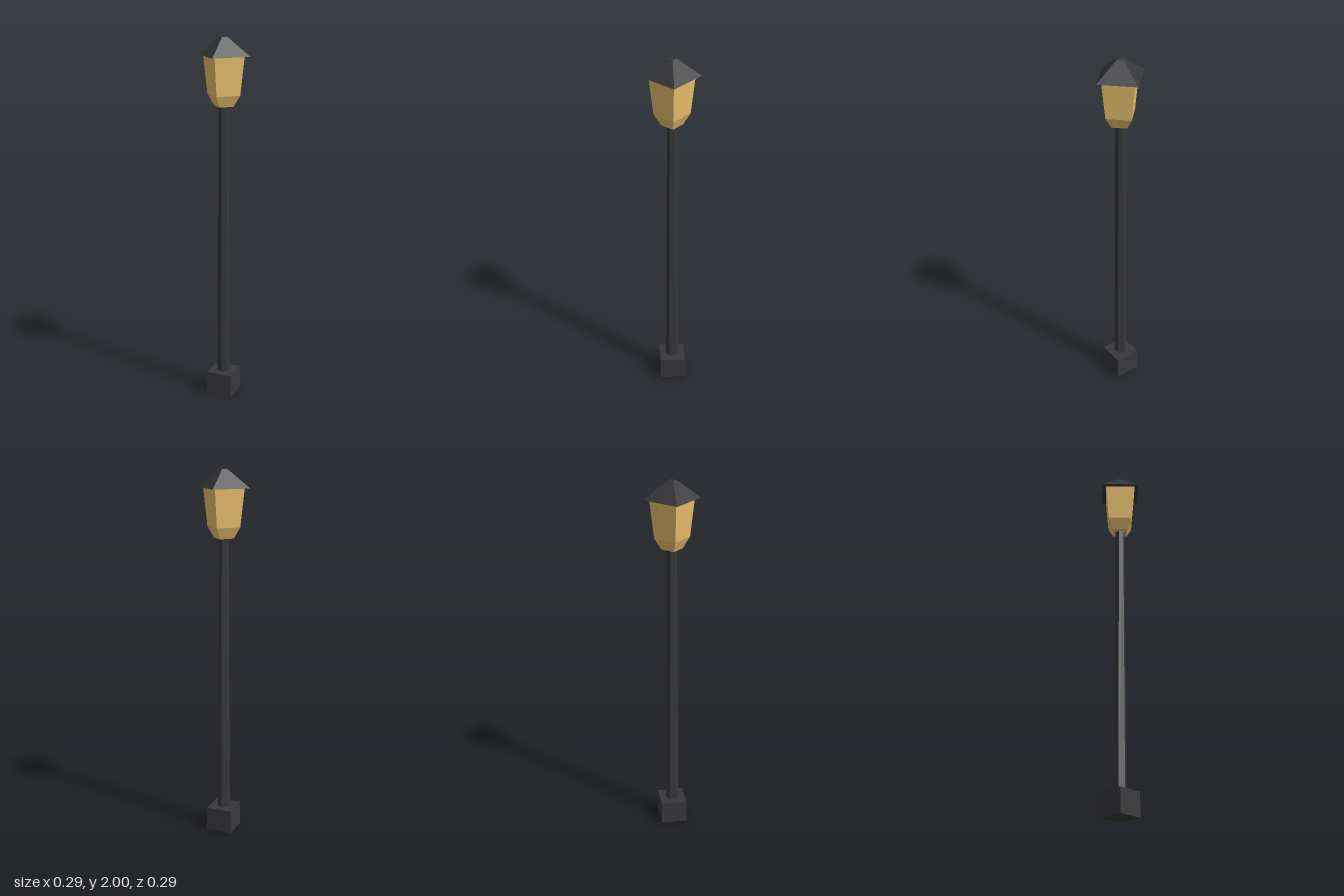
import * as THREE from 'three';

export function createModel() {
  const model = new THREE.Group();
  const iron = new THREE.MeshStandardMaterial({ color: 0x38383b, flatShading: true });
  const glass = new THREE.MeshStandardMaterial({ color: 0xe9c06c, flatShading: true });

  const add = (name, geometry, material) => {
    const mesh = new THREE.Mesh(geometry, material);
    mesh.name = name;
    model.add(mesh);
  };

  // Tapered prism between two heights, with a corner facing +z
  const taper = (name, y0, y1, r0, r1, sides, material) => {
    const geometry = new THREE.CylinderGeometry(r1, r0, y1 - y0, sides);
    geometry.translate(0, (y0 + y1) / 2, 0);
    add(name, geometry, material);
  };

  // Square foot
  const foot = new THREE.BoxGeometry(0.143, 0.132, 0.143);
  foot.translate(0, 0.066, 0);
  add('base', foot, iron);

  // Slim hexagonal post
  taper('post', 0.132, 1.645, 0.035, 0.026, 6, iron);

  // Four-sided lantern set corner-on, flaring upwards in two steps
  const profile = [[0, 1.645], [0.056, 1.645], [0.093, 1.705], [0.116, 1.905], [0, 1.905]]
    .map(([r, y]) => new THREE.Vector2(r, y));
  add('lantern', new THREE.LatheGeometry(profile, 4), glass);

  // Overhanging pyramid roof with a cut-off tip
  taper('roof', 1.906, 2, 0.147, 0.022, 4, iron);

  return model;
}
